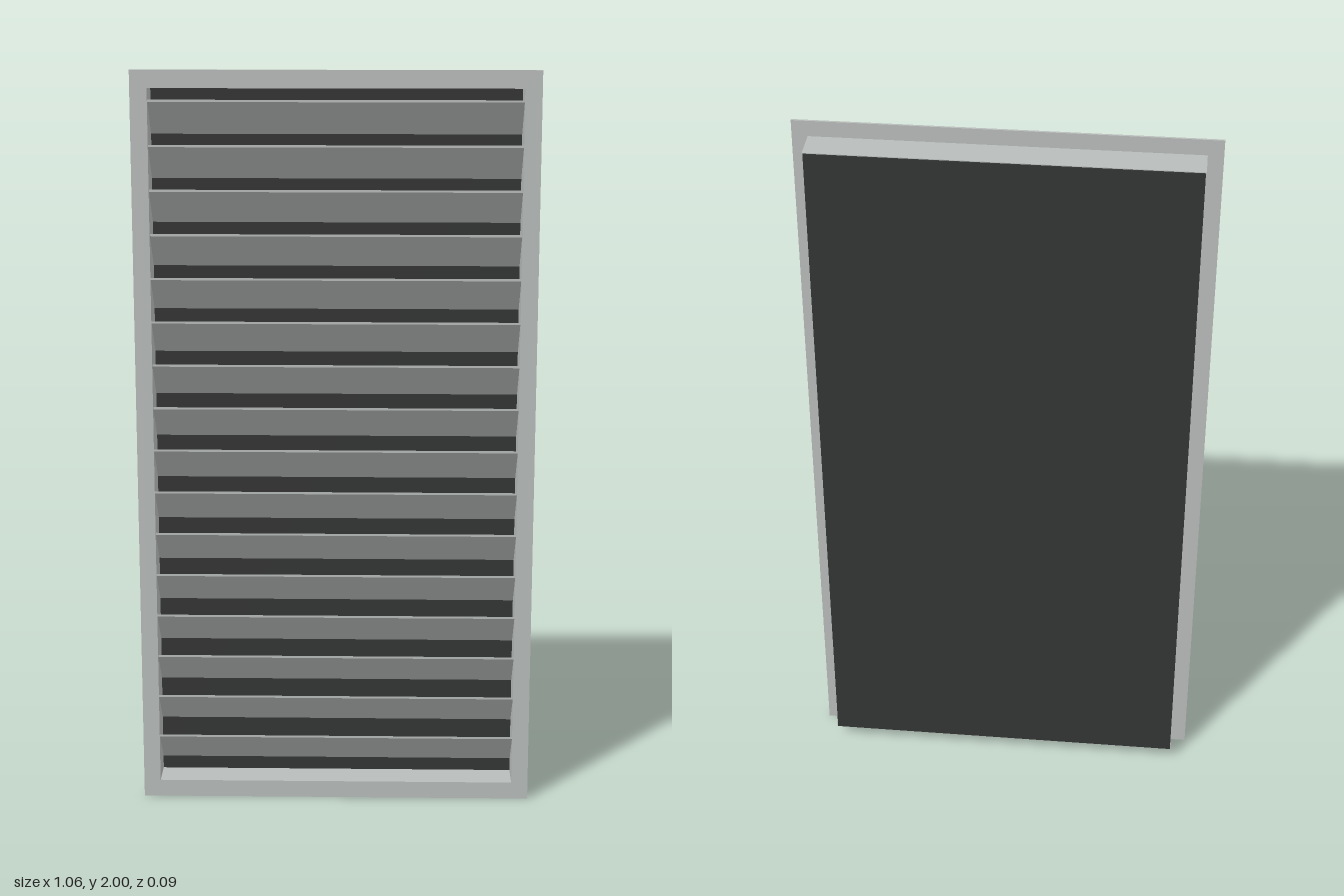
import * as THREE from 'three';

// Rectangular ring extruded along z, from z0 to z1
function ring(outerW, y0, y1, innerW, iy0, iy1, z0, z1) {
  const s = new THREE.Shape([
    new THREE.Vector2(-outerW, y0), new THREE.Vector2(outerW, y0),
    new THREE.Vector2(outerW, y1), new THREE.Vector2(-outerW, y1),
  ]);
  s.holes.push(new THREE.Path([
    new THREE.Vector2(-innerW, iy0), new THREE.Vector2(-innerW, iy1),
    new THREE.Vector2(innerW, iy1), new THREE.Vector2(innerW, iy0),
  ]));
  const g = new THREE.ExtrudeGeometry(s, { depth: z1 - z0, bevelEnabled: false });
  g.translate(0, 0, z0);
  return g;
}

export function createModel() {
  const model = new THREE.Group();
  model.name = 'louvreGrille';
  const metal = new THREE.MeshStandardMaterial({ color: 0xb8bcba });
  metal.name = 'light grey metal';
  const dark = new THREE.MeshStandardMaterial({ color: 0x333434 });
  dark.name = 'dark backing';

  const add = (name, geometry, material) => {
    const mesh = new THREE.Mesh(geometry, material);
    mesh.name = name;
    model.add(mesh);
    return mesh;
  };

  // Front flange and the sleeve behind it
  add('flange', ring(0.532, 0, 2, 0.487, 0.047, 1.953, 0.041, 0.047), metal);
  add('sleeve', ring(0.492, 0.042, 1.958, 0.487, 0.047, 1.953, -0.044, 0.041), metal);

  // Dark panel closing the back
  const panel = add('backPanel', new THREE.BoxGeometry(0.98, 1.912, 0.003), dark);
  panel.position.set(0, 1, -0.0455);

  // Slanted slats, high at the front and low at the back
  const profile = new THREE.Shape([
    new THREE.Vector2(0.04, 0), new THREE.Vector2(-0.044, -0.09),
    new THREE.Vector2(-0.044, -0.096), new THREE.Vector2(0.04, -0.006),
  ]);
  const slat = new THREE.ExtrudeGeometry(profile, { depth: 0.974, bevelEnabled: false });
  slat.rotateY(-Math.PI / 2); // profile x becomes z, length runs along -x
  slat.translate(0.487, 0, 0);
  for (let i = 0; i < 16; i++) {
    add('slat' + (i + 1), slat, metal).position.y = 1.923 - i * 0.1163;
  }

  return model;
}
